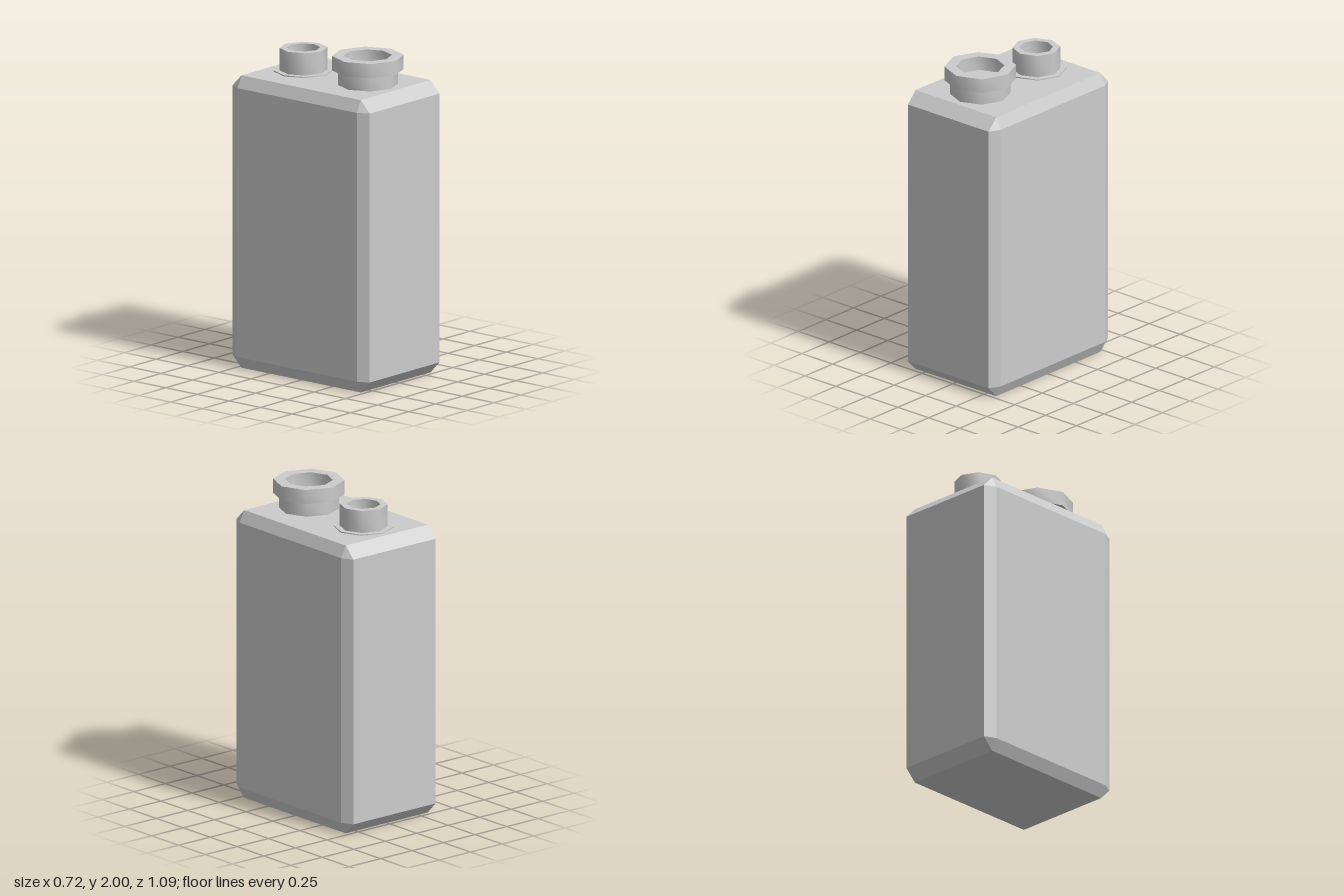
import * as THREE from 'three';
import { toCreasedNormals } from 'three/addons/utils/BufferGeometryUtils.js';
import { ConvexGeometry } from 'three/addons/geometries/ConvexGeometry.js';

const grey = new THREE.MeshStandardMaterial({ color: 0xcccccc });
const flatGrey = new THREE.MeshStandardMaterial({ color: 0xcccccc, flatShading: true });

// Box with every edge chamfered and a triangle at each corner
function chamferedBox(w, h, d, cx, cy, cz) {
  const points = [];
  for (const sx of [-1, 1]) for (const sy of [-1, 1]) for (const sz of [-1, 1]) {
    const x = w / 2, y = h / 2, z = d / 2;
    points.push(
      new THREE.Vector3(sx * x, sy * (y - cy), sz * (z - cz)),
      new THREE.Vector3(sx * (x - cx), sy * y, sz * (z - cz)),
      new THREE.Vector3(sx * (x - cx), sy * (y - cy), sz * z)
    );
  }
  return new ConvexGeometry(points);
}

// Eight-sided turned part: smooth around, sharp at the rims
function turned(name, profile, z) {
  const points = profile.map(([r, y]) => new THREE.Vector2(r, y));
  const geometry = toCreasedNormals(new THREE.LatheGeometry(points, 8), Math.PI / 3);
  const mesh = new THREE.Mesh(geometry, grey);
  mesh.name = name;
  mesh.position.z = z;
  return mesh;
}

export function createModel() {
  const model = new THREE.Group();
  model.name = 'canister';

  const body = new THREE.Mesh(chamferedBox(0.724, 1.82, 1.086, 0.036, 0.073, 0.071), flatGrey);
  body.name = 'body';
  body.position.y = 0.91;
  model.add(body);

  // Front filler: narrow neck with a wide, recessed collar
  model.add(turned('fillerNeck', [[0.182, 1.82], [0.182, 1.912]], 0.252));
  model.add(turned('fillerCollar', [
    [0, 1.911], [0.217, 1.911], [0.217, 2], [0.146, 2], [0.146, 1.913], [0, 1.913]
  ], 0.252));

  // Rear spout: open tube on a thin flange
  model.add(turned('spoutFlange', [[0.181, 1.82], [0.181, 1.827], [0, 1.827]], -0.257));
  model.add(turned('spoutTube', [
    [0.145, 1.827], [0.145, 1.966], [0.102, 1.966], [0.102, 1.83], [0, 1.83]
  ], -0.257));

  return model;
}
